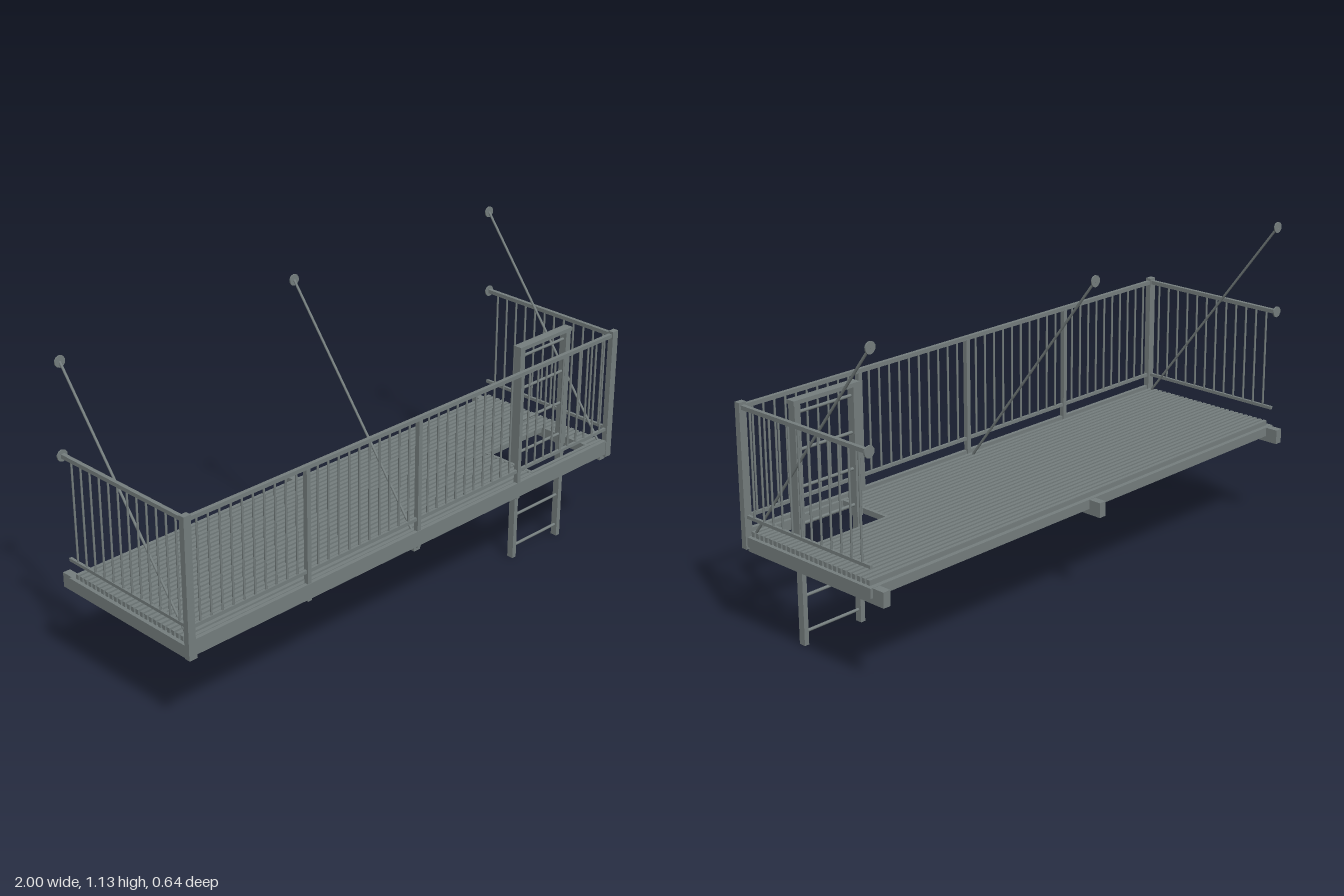
import * as THREE from 'three';

export function createModel() {
  const model = new THREE.Group();
  const steel = new THREE.MeshStandardMaterial({ color: 0x757e7e });
  steel.name = 'galvanised steel';

  const add = (name, geometry, parent = model) => {
    const mesh = new THREE.Mesh(geometry, steel);
    mesh.name = name;
    parent.add(mesh);
    return mesh;
  };
  const group = (name) => {
    const g = new THREE.Group();
    g.name = name;
    model.add(g);
    return g;
  };
  // Box given by its limits on each axis
  const box = (name, x0, x1, y0, y1, z0, z1, parent) => {
    const m = add(name, new THREE.BoxGeometry(x1 - x0, y1 - y0, z1 - z0), parent);
    m.position.set((x0 + x1) / 2, (y0 + y1) / 2, (z0 + z1) / 2);
    return m;
  };
  // Round bar between two points
  const bar = (name, a, b, r, parent) => {
    const p = new THREE.Vector3(...a), q = new THREE.Vector3(...b);
    const m = add(name, new THREE.CylinderGeometry(r, r, p.distanceTo(q), 10), parent);
    m.position.copy(p).add(q).multiplyScalar(0.5);
    m.quaternion.setFromUnitVectors(new THREE.Vector3(0, 1, 0), q.sub(p).normalize());
    return m;
  };
  const wallPlate = (x, y, parent) =>
    bar('wallPlate', [x, y, -0.272], [x, y, -0.277], 0.02, parent);

  // Floor frame and the cross beams below it
  const frame = group('floorFrame');
  box('frontBeam', -0.99, 0.99, 0.342, 0.397, 0.305, 0.319, frame);
  box('backBeam', -0.98, 0.98, 0.34, 0.373, -0.272, -0.256, frame);
  for (const s of [-1, 1]) {
    const x = s * 0.98;
    box('sideBeam', x - 0.008, x + 0.008, 0.34, 0.373, -0.272, 0.305, frame);
  }
  for (const x of [-0.965, 0, 0.965])
    box('crossBeam', x - 0.014, x + 0.014, 0.32, 0.372, -0.318, 0.308, frame);

  // Slatted floor, cut away around the ladder hatch
  const hatch = { x0: 0.592, x1: 0.908, z0: 0.065, z1: 0.29 };
  const floor = group('slattedFloor');
  for (let i = 0; i < 26; i++) {
    const z = 0.287 - i * 0.0214;
    const spans = z > hatch.z0 && z < hatch.z1
      ? [[-0.975, hatch.x0], [hatch.x1, 0.975]] : [[-0.975, 0.975]];
    for (const [a, b] of spans)
      box('slat', a, b, 0.372, 0.39, z - 0.0065, z + 0.0065, floor);
  }
  const hatchFrame = group('hatchFrame');
  box('hatchEdge', hatch.x0, hatch.x0 + 0.012, 0.372, 0.391, hatch.z0, hatch.z1, hatchFrame);
  box('hatchEdge', hatch.x1 - 0.012, hatch.x1, 0.372, 0.391, hatch.z0, hatch.z1, hatchFrame);
  box('hatchEdge', hatch.x0, hatch.x1, 0.372, 0.391, hatch.z0, hatch.z0 + 0.012, hatchFrame);
  box('hatchEdge', hatch.x0, hatch.x1, 0.372, 0.391, 0.28, 0.292, hatchFrame);

  // Front railing: rails, posts and balusters
  const front = group('frontRailing');
  box('topRail', -0.97, 0.97, 0.797, 0.811, 0.302, 0.316, front);
  box('bottomRail', -0.97, 0.97, 0.435, 0.446, 0.304, 0.314, front);
  for (const s of [-1, 1]) {
    const x = s * 0.98;
    box('cornerPost', x - 0.014, x + 0.014, 0.332, 0.82, 0.3, 0.321, front);
  }
  const posts = [-0.98, -0.495, 0, 0.495, 0.98];
  for (const x of posts.slice(1, 4))
    box('middlePost', x - 0.008, x + 0.008, 0.334, 0.8, 0.3, 0.317, front);
  for (let p = 0; p < 4; p++)
    for (let i = 1; i < 11; i++) {
      const x = posts[p] + (posts[p + 1] - posts[p]) * i / 11;
      bar('baluster', [x, 0.44, 0.309], [x, 0.8, 0.309], 0.0038, front);
    }

  // Side railings fixed to the wall
  for (const s of [-1, 1]) {
    const side = group(s > 0 ? 'leftRailing' : 'rightRailing');
    const x = s * 0.98;
    box('topRail', x - 0.007, x + 0.007, 0.797, 0.811, -0.272, 0.302, side);
    box('bottomRail', x - 0.005, x + 0.005, 0.435, 0.446, -0.27, 0.302, side);
    wallPlate(x, 0.804, side);
    for (let i = 0; i < 12; i++) {
      const z = 0.267 - i * 0.0452;
      bar('baluster', [x, 0.44, z], [x, 0.8, z], 0.0038, side);
    }
  }

  // Sloping tie rods
  const ties = group('tieRods');
  for (const x of [-0.965, 0, 0.965]) {
    bar('tieRod', [x, 0.375, 0.292], [x, 1.115, -0.274], 0.0045, ties);
    wallPlate(x, 1.115, ties);
  }

  // Ladder through the hatch, with guides above the floor
  const ladder = group('ladder');
  for (const x of [0.63, 0.872]) {
    box('ladderStile', x - 0.009, x + 0.009, 0, 0.815, 0.17, 0.195, ladder);
    box('ladderGuide', x - 0.012, x + 0.012, 0.375, 0.816, 0.169, 0.198, ladder);
  }
  box('ladderCap', 0.614, 0.886, 0.815, 0.829, 0.169, 0.202, ladder);
  for (let i = 0; i < 7; i++) {
    const y = 0.043 + i * 0.1237;
    bar('rung', [0.63, y, 0.183], [0.872, y, 0.183], 0.0055, ladder);
  }
  return model;
}
